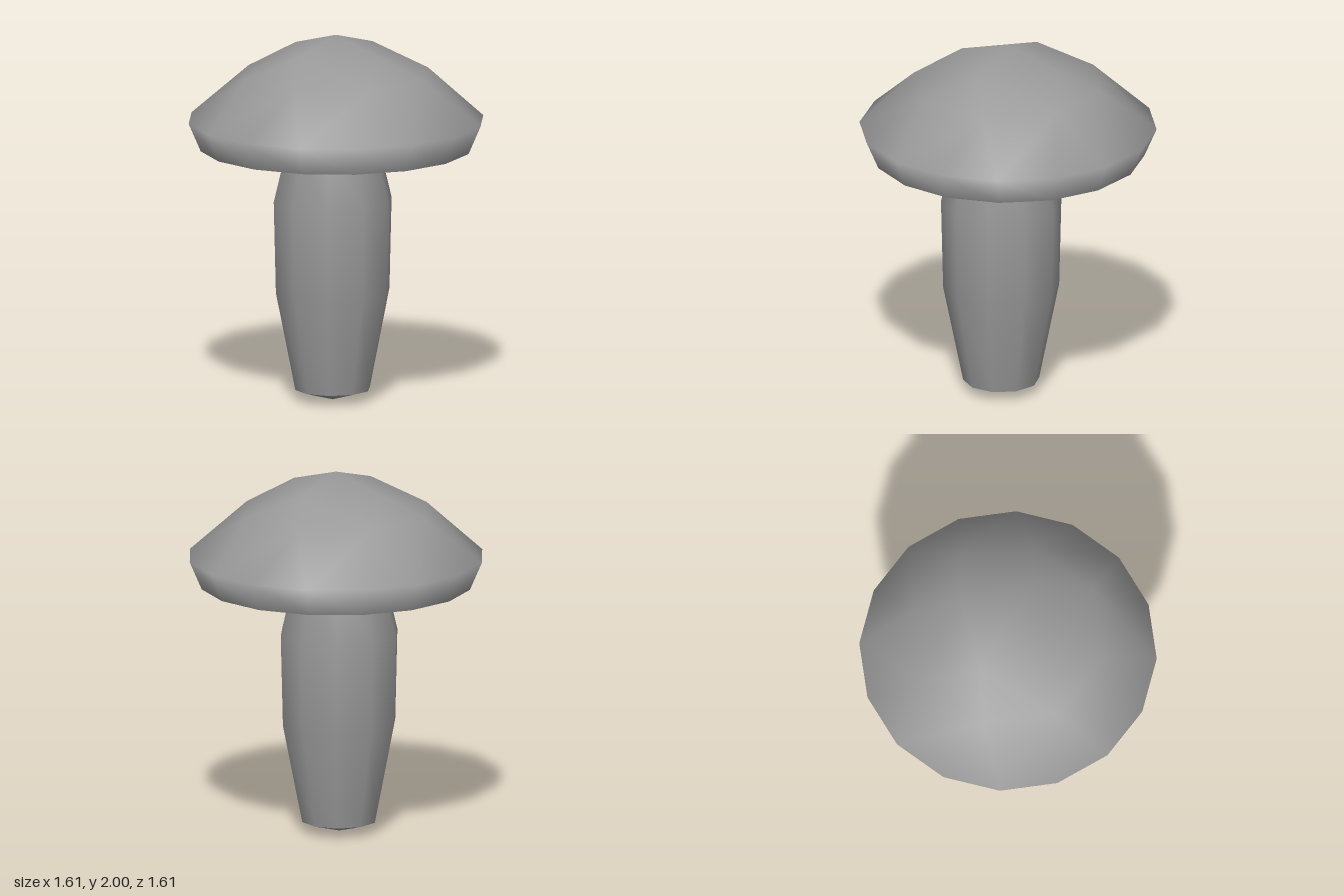
import * as THREE from 'three';

const material = new THREE.MeshStandardMaterial({ color: 0x999999 });

function addMesh(group, name, geometry) {
  const mesh = new THREE.Mesh(geometry, material);
  mesh.name = name;
  group.add(mesh);
  return mesh;
}

// Smooth skin over stacked rings whose side counts may differ.
// Each ring: { n: sides, r: radius, y: height, turn: degrees about y }
function skinRings(rings) {
  const positions = [];
  const index = [];
  for (const ring of rings) {
    ring.start = positions.length / 3;
    for (let i = 0; i < ring.n; i++) {
      const a = THREE.MathUtils.degToRad((i * 360) / ring.n + ring.turn);
      positions.push(ring.r * Math.sin(a), ring.y, ring.r * Math.cos(a));
    }
  }
  const at = (ring, i) => ring.start + (i % ring.n);
  const middle = (ring, i) => ((i + 0.5) * 360) / ring.n + ring.turn;
  for (let k = 0; k < rings.length - 1; k++) {
    const low = rings[k];
    const high = rings[k + 1];
    let i = 0;
    let j = 0;
    while (i < low.n || j < high.n) {
      const stepLow = j >= high.n || (i < low.n && middle(low, i) <= middle(high, j));
      if (stepLow) {
        index.push(at(low, i), at(low, i + 1), at(high, j));
        i++;
      } else {
        if (high.n > 1) index.push(at(low, i), at(high, j + 1), at(high, j));
        j++;
      }
    }
  }
  const geometry = new THREE.BufferGeometry();
  geometry.setAttribute('position', new THREE.Float32BufferAttribute(positions, 3));
  geometry.setIndex(index);
  geometry.computeVertexNormals();
  return geometry;
}

// Ten-sided turned surface from [radius, height] pairs, bottom to top
function turned(profile) {
  return new THREE.LatheGeometry(profile.map(([r, y]) => new THREE.Vector2(r, y)), 10);
}

export function createModel() {
  const model = new THREE.Group();
  model.name = 'mushroom';

  // Cap: the side count halves towards the peak, with a slight twist
  const cap = new THREE.Group();
  cap.name = 'cap';
  addMesh(cap, 'capDome', skinRings([
    { n: 16, r: 0.737, y: 1.38, turn: 0 },
    { n: 16, r: 0.803, y: 1.533, turn: 0 },
    { n: 8, r: 0.525, y: 1.785, turn: -12 },
    { n: 4, r: 0.293, y: 1.92, turn: 17 },
    { n: 1, r: 0, y: 2, turn: 0 },
  ]));
  const underside = addMesh(cap, 'capUnderside', new THREE.CircleGeometry(0.737, 16));
  underside.rotation.x = Math.PI / 2;
  underside.position.y = 1.38;
  model.add(cap);

  // Stem: bulging, slightly off centre, with a shallow pointed base
  const stem = new THREE.Group();
  stem.name = 'stem';
  addMesh(stem, 'stemSide', turned([[0.206, 0.06], [0.314, 0.6], [0.326, 1.1], [0.255, 1.39]]));
  addMesh(stem, 'stemBase', turned([[0, 0], [0.206, 0.06]]));
  stem.position.set(-0.033, 0, 0.02);
  model.add(stem);

  return model;
}
